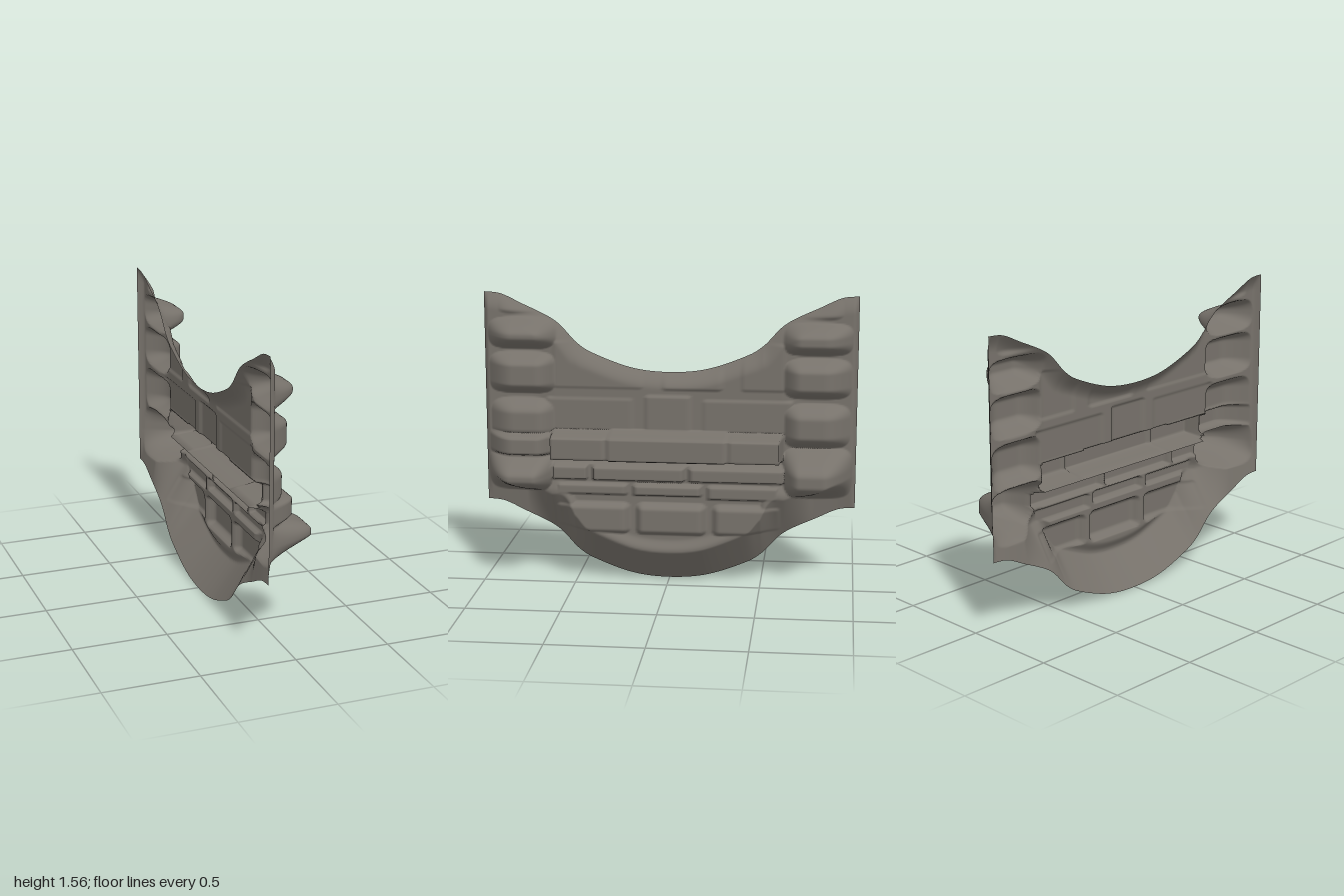
import * as THREE from 'three';

const BACK = -0.15;

// Masonry: [z from, z to, y from, y to, face x, z rounding, y rounding]
const ledge = [
  [-0.62, 0.64, 0.675, 0.835, 0.05, 0.03, 0.025],
  [-0.61, -0.325, 0.675, 0.835, 0.06, 0.012, 0.025],
  [-0.325, 0.325, 0.672, 0.838, 0.063, 0.012, 0.025],
  [0.325, 0.63, 0.675, 0.835, 0.06, 0.012, 0.025],
];
const upperCourses = [
  [-0.7, -0.14, 0.8, 1.035, -0.088, 0.06, 0.04],
  [-0.15, 0.16, 0.8, 1.045, -0.084, 0.05, 0.03],
  [0.15, 0.7, 0.8, 1.035, -0.09, 0.06, 0.04],
  [-0.68, -0.33, 1.03, 1.34, -0.088, 0.08, 0.04],
  [-0.34, 0.09, 1.03, 1.25, -0.085, 0.08, 0.04],
  [0.08, 0.68, 1.03, 1.34, -0.09, 0.08, 0.04],
];
const lowerCourses = [
  [-0.64, -0.1, 0.56, 0.67, 0.012, 0.03, 0.025],
  [-0.11, 0.42, 0.56, 0.67, 0.016, 0.03, 0.025],
  [0.41, 0.64, 0.56, 0.67, 0.008, 0.03, 0.025],
  [-0.62, -0.19, 0.46, 0.575, 0.002, 0.04, 0.03],
  [-0.2, 0.2, 0.475, 0.575, 0.01, 0.03, 0.03],
  [0.19, 0.62, 0.475, 0.575, 0.002, 0.04, 0.03],
  [-0.66, -0.2, 0.24, 0.49, 0.014, 0.08, 0.07],
  [-0.25, 0.21, 0.24, 0.49, 0.02, 0.08, 0.07],
  [0.16, 0.66, 0.24, 0.49, 0.014, 0.08, 0.07],
];
const masonry = [...ledge, ...upperCourses, ...lowerCourses];

// Stacked boulders of the two end columns: [y from, y to, face x, y rounding]
const leftBoulders = [
  [0.475, 0.73, 0.143, 0.12],
  [0.68, 0.835, 0.035, 0.04],
  [0.75, 1.015, -0.022, 0.09],
  [1.015, 1.26, 0.002, 0.075],
  [1.255, 1.445, 0.032, 0.09],
  [1.43, 1.58, -0.095, 0.05],
];
const rightBoulders = [
  [0.465, 0.77, 0.125, 0.13],
  [0.74, 1.01, -0.01, 0.09],
  [1.01, 1.25, 0, 0.08],
  [1.245, 1.435, 0.022, 0.08],
  [1.42, 1.58, -0.095, 0.05],
];

const round = (d, width) => Math.sin((Math.PI / 2) * THREE.MathUtils.clamp(d / width, 0, 1));
const fade = THREE.MathUtils.smoothstep;

// Relief depth above the back plane
function relief(z, y, toBottom, toTop) {
  // curved rim along the lower edge, running into the bed of the lower courses
  const side = Math.abs(z);
  const bed = 0.15 - 0.025 * fade(toBottom, 0.19, 0.25);
  const lowerBed = bed * (1 - fade(side, 0.58, 0.86)) * (1 - fade(y, 0.66, 0.685));
  const upperBed = 0.054 - 0.019 * fade(side, 0.6, 0.75);
  let h = Math.max(lowerBed, upperBed);
  for (const [z0, z1, y0, y1, x, rz, ry] of masonry) {
    h = Math.max(h, (x - BACK) * round(Math.min(z - z0, z1 - z), rz) * round(Math.min(y - y0, y1 - y), ry));
  }
  // boulders are steep toward the wall and slope off toward the ends
  const across = Math.min(round(side - 0.585, 0.12), round(0.995 - side, 0.17));
  for (const [y0, y1, x, ry] of z > 0 ? leftBoulders : rightBoulders) {
    h = Math.max(h, (x - BACK) * across * round(Math.min(y - y0, y1 - y), ry));
  }
  // bring all four edges back to the plane
  return h * Math.min(1, toBottom / 0.18) * round(toTop, 0.09) * round(1 - side, 0.03);
}

export function createModel() {
  const group = new THREE.Group();
  const stone = new THREE.MeshStandardMaterial({ color: 0x77726b, side: THREE.DoubleSide });
  stone.name = 'grey stone';

  // Sagging upper edge; the lower edge repeats it one panel height below
  const half = [[0.2, 1.165], [0.4, 1.235], [0.5, 1.295], [0.62, 1.415], [0.8, 1.505], [0.91, 1.555], [1, 1.565]];
  const edge = new THREE.SplineCurve([
    ...half.map(([z, y]) => new THREE.Vector2(-z, y)).reverse(),
    new THREE.Vector2(0, 1.145),
    ...half.map(([z, y]) => new THREE.Vector2(z, y)),
  ]);
  const height = 1.143, columns = 252, rows = 220;
  const points = edge.getPoints(columns);

  // Carved sheet, open at the back; level rows are cut off at the curved edges
  const level = (i, j) => THREE.MathUtils.clamp((1.565 * j) / rows, Math.max(0, points[i].y - height), points[i].y);
  const positions = [], indices = [];
  points.forEach((p, i) => {
    const slope = edge.getTangent(i / columns).x;
    for (let j = 0; j <= rows; j++) {
      const y = level(i, j);
      const depth = relief(p.x, y, Math.max(0, y - p.y + height) * slope, (p.y - y) * slope);
      positions.push(BACK + depth, y, p.x);
      if (i === columns || j === rows) continue;
      const a = i * (rows + 1) + j, b = a + rows + 1;
      if (level(i, j + 1) > y) indices.push(a, a + 1, b);
      if (level(i + 1, j + 1) > level(i + 1, j)) indices.push(b, a + 1, b + 1);
    }
  });
  const geometry = new THREE.BufferGeometry();
  geometry.setAttribute('position', new THREE.Float32BufferAttribute(positions, 3));
  geometry.setIndex(indices);
  geometry.computeVertexNormals();

  const wall = new THREE.Mesh(geometry, stone);
  wall.name = 'stoneWallRelief';
  group.add(wall);
  return group;
}
